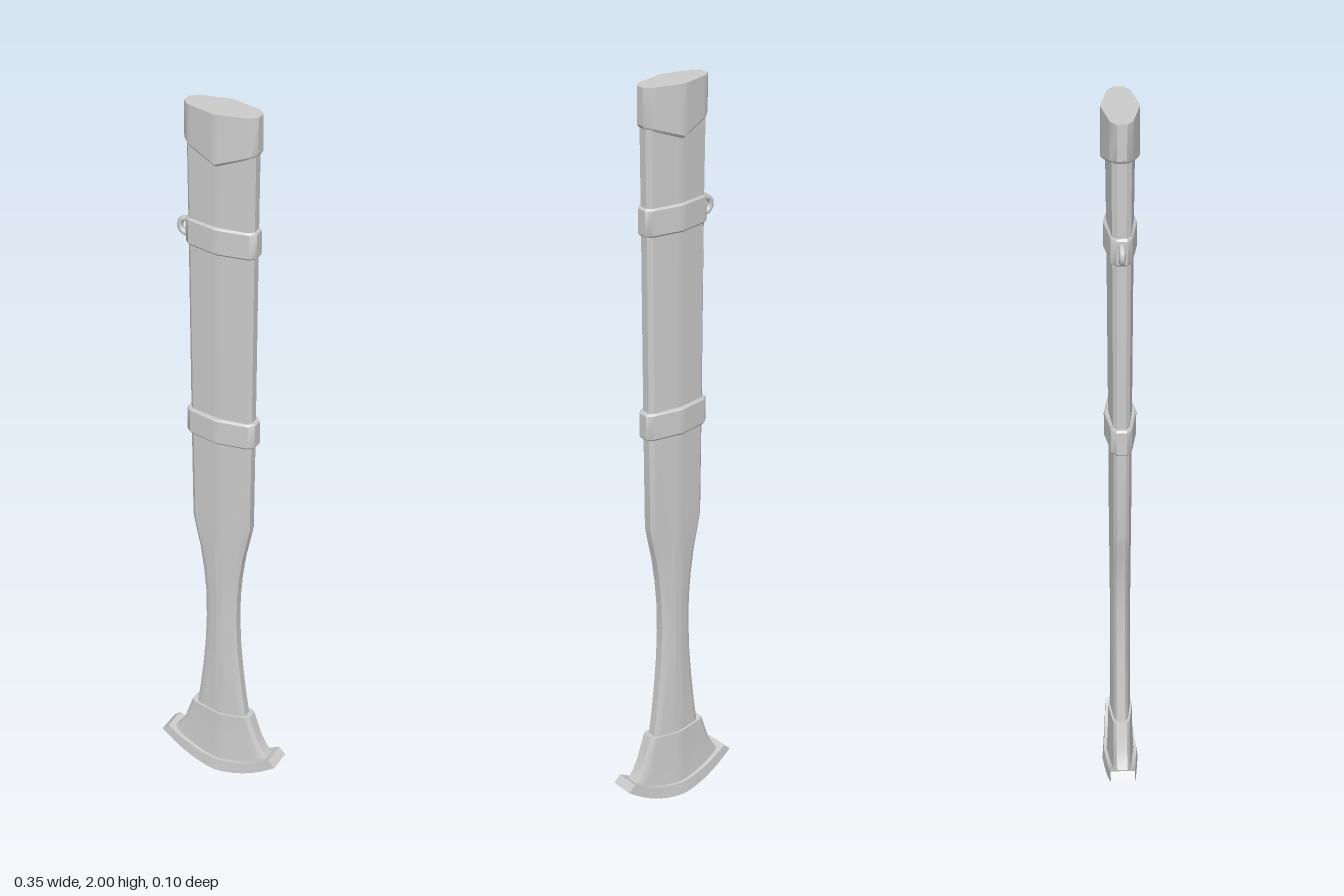
import * as THREE from 'three';
import { toCreasedNormals } from 'three/addons/utils/BufferGeometryUtils.js';

const material = new THREE.MeshStandardMaterial({ color: 0xcccccc });
const STEPS = 6; // subdivisions from edge to centre ridge

// Front half of a ridged section, from +x to -x.
// w half width, d ridge depth, s shoulder depth, e edge depth, c chamfer width
function halfSection({ w, d, s, e, c }) {
  const right = [[w, e]];
  for (let i = 0; i <= STEPS; i++) {
    const t = i / STEPS;
    right.push([(w - c) * (1 - t), s + (d - s) * t]);
  }
  const left = right.slice(0, -1).reverse().map(([x, z]) => [-x, z]);
  return [...right, ...left];
}

// Closed loft through rows (bottom to top); each row may bend upward at its sides
function loft(name, rows, power = 2) {
  const positions = [], index = [];
  const m = 2 * STEPS + 3, n = 2 * m;
  for (const row of rows) {
    const front = halfSection(row);
    const back = front.map(([x, z]) => [x, -z]).reverse();
    for (const [x, z] of [...front, ...back]) {
      positions.push(x, row.y + (row.bend || 0) * Math.pow(Math.abs(x) / row.w, power), z);
    }
  }
  for (let i = 0; i < rows.length - 1; i++) {
    for (let j = 0; j < n; j++) {
      const a = i * n + j, b = i * n + (j + 1) % n;
      index.push(a, a + n, b, b, a + n, b + n);
    }
  }
  // End caps, bridged from front to back
  const top = (rows.length - 1) * n;
  for (let k = 0; k < m - 1; k++) {
    const f = k, g = k + 1, bf = n - 1 - k, bg = n - 2 - k;
    index.push(f, g, bf, g, bg, bf);
    index.push(top + f, top + bf, top + g, top + g, top + bf, top + bg);
  }
  const geometry = new THREE.BufferGeometry();
  geometry.setAttribute('position', new THREE.Float32BufferAttribute(positions, 3));
  geometry.setIndex(index);
  const mesh = new THREE.Mesh(toCreasedNormals(geometry, 0.52), material);
  mesh.name = name;
  return mesh;
}

export function createModel() {
  const group = new THREE.Group();
  group.name = 'scabbard';

  // Long sheath, waisted toward the bottom: [y, half width, ridge depth]
  const profile = [
    [0.1, 0.082, 0.027], [0.19, 0.074, 0.027], [0.26, 0.064, 0.027], [0.34, 0.055, 0.027],
    [0.42, 0.048, 0.027], [0.5, 0.045, 0.027], [0.58, 0.046, 0.027], [0.65, 0.052, 0.028],
    [0.72, 0.062, 0.028], [0.78, 0.075, 0.029], [0.82, 0.083, 0.029],
    [1.1, 0.086, 0.03], [1.65, 0.09, 0.033], [1.95, 0.093, 0.036],
  ];
  group.add(loft('sheath', profile.map(([y, w, d]) =>
    ({ y, w, d, s: d * 0.68, e: 0.011, c: 0.01 }))));

  // Mouth fitting with a pointed lower edge
  const mouth = { w: 0.099, d: 0.047, s: 0.027, e: 0.012, c: 0.016 };
  group.add(loft('mouthFitting', [
    { ...mouth, y: 1.862, bend: 0.035, w: 0.094, d: 0.04, s: 0.024 },
    { ...mouth, y: 1.87, bend: 0.035 },
    { ...mouth, y: 2 },
  ], 1));

  // Two bands with softened rims
  const band = { w: 0.097, d: 0.041, s: 0.026, e: 0.013, c: 0.014 };
  const rim = { ...band, w: 0.093, d: 0.037, s: 0.023 };
  for (const [name, y] of [['upperBand', 1.66], ['lowerBand', 1.115]]) {
    group.add(loft(name, [
      { ...rim, y: y - 0.037 }, { ...band, y: y - 0.032 },
      { ...band, y: y + 0.032 }, { ...rim, y: y + 0.037 },
    ]));
  }

  // Hanging ring on the upper band
  const ring = new THREE.Mesh(new THREE.TorusGeometry(0.02, 0.008, 8, 20), material);
  ring.name = 'hangingRing';
  ring.position.set(-0.1, 1.66, 0);
  group.add(ring);

  // Flared tip fitting
  const tip = { d: 0.033, s: 0.022, e: 0.014, c: 0.01 };
  group.add(loft('tipFitting', [
    { ...tip, y: 0.02, w: 0.147, bend: 0.05, d: 0.038 },
    { ...tip, y: 0.055, w: 0.127, bend: 0.042, d: 0.036 },
    { ...tip, y: 0.1, w: 0.111, bend: 0.028, d: 0.034 },
    { ...tip, y: 0.15, w: 0.099, bend: 0.014 },
    { ...tip, y: 0.19, w: 0.088, bend: 0.006 },
  ]));

  // Curved foot plate
  const foot = { s: 0.034, e: 0.033, c: 0.012 };
  group.add(loft('footPlate', [
    { ...foot, y: 0, w: 0.175, bend: 0.066, d: 0.049 },
    { ...foot, y: 0.035, w: 0.156, bend: 0.05, d: 0.045 },
  ]));

  return group;
}
